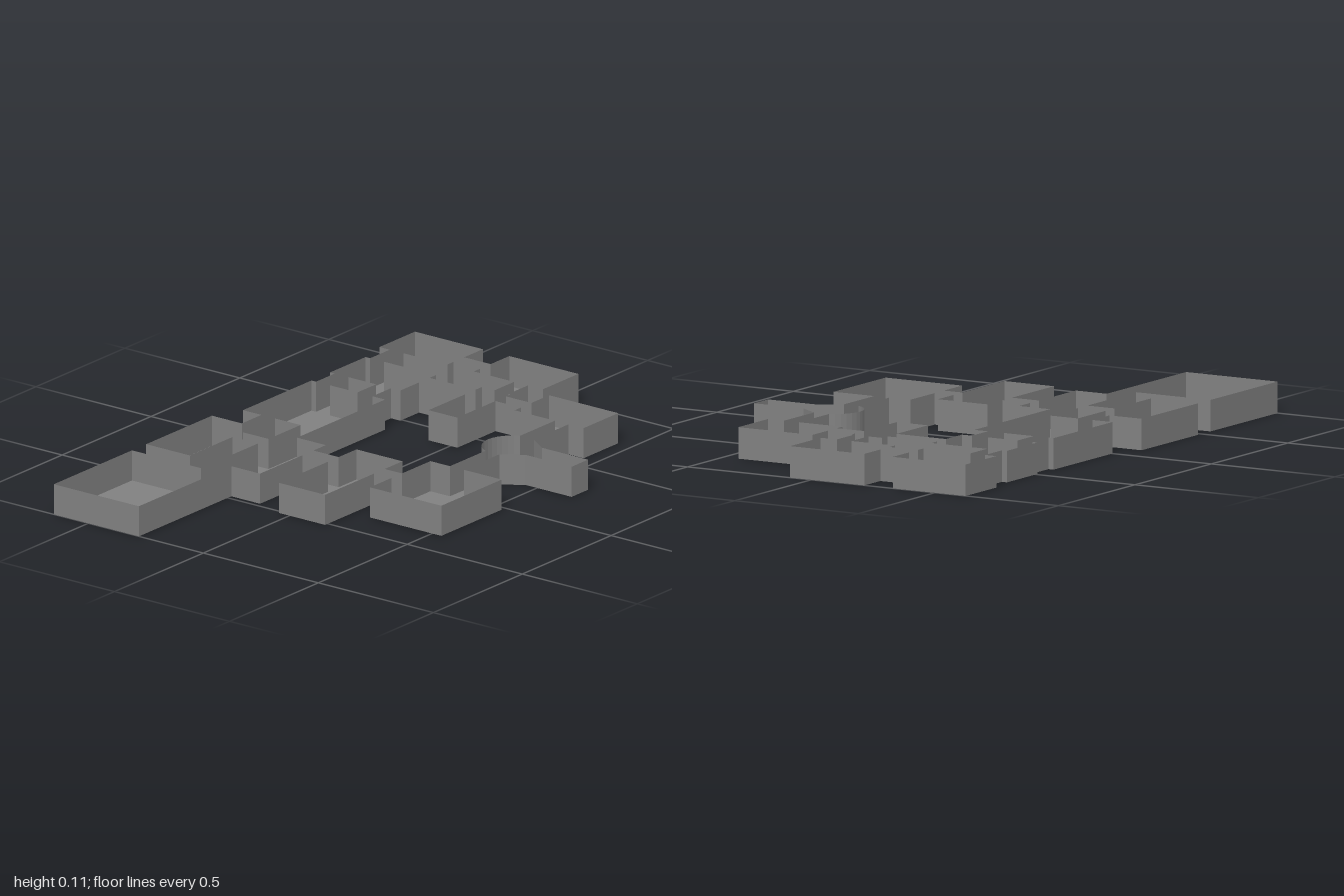
import * as THREE from 'three';

const H = 0.11;
const stone = new THREE.MeshStandardMaterial({ color: 0x808080, side: THREE.DoubleSide });
stone.name = 'grey stone';

// Floor plan: name, x0, z0, x1, z1
const PLAN = [
  ['northWestHall', -1, -0.65, -0.56, -0.28],
  ['northRoom', -0.48, -0.65, -0.11, -0.46],
  ['westRoom', -0.48, -0.35, -0.11, -0.155],
  ['greatHall', 0, -0.6, 0.385, -0.28],
  ['northEastRoom', 0.49, -0.6, 0.69, -0.295],
  ['cornerRoom', 0.8, -0.625, 1, -0.33],
  ['eastRoom', 0.8, -0.215, 1, 0.085],
  ['innerRoom', 0.39, -0.095, 0.69, 0.03],
  ['southEastRoom', 0.57, 0.14, 0.765, 0.44],
  ['southWestRoom', -0.36, 0.23, -0.02, 0.54],
  ['lowerWestRoom', -0.515, -0.045, -0.08, 0.155],
  ['corridor', -0.56, -0.35, -0.48, -0.28],
  ['corridor', -0.24, -0.46, -0.18, -0.35],
  ['corridor', -0.11, -0.52, 0, -0.46],
  ['corridor', -0.11, -0.35, 0, -0.28],
  ['corridor', 0.385, -0.58, 0.49, -0.52],
  ['corridor', 0.385, -0.4, 0.49, -0.335],
  ['corridor', 0.69, -0.58, 0.8, -0.52],
  ['corridor', 0.835, -0.33, 0.895, -0.215],
  ['corridor', 0.69, -0.04, 0.8, 0.02],
  ['corridor', 0.595, -0.295, 0.655, -0.095],
  ['corridor', 0.605, 0.03, 0.665, 0.14],
  ['corridor', 0.374, 0.315, 0.57, 0.375],
  ['corridor', -0.02, 0.315, 0.18, 0.375],
  ['corridor', -0.24, 0.155, -0.18, 0.23],
  ['corridor', -0.24, -0.155, -0.18, -0.045],
  ['entrance', 0.231, 0.45, 0.323, 0.65],
].map(([name, ...r]) => ({ name, r }));
const CHAMBER = { name: 'roundChamber', r: [0.18, 0.25, 0.374, 0.45] };
const ALL = [...PLAN, CHAMBER];

// Upright sheet between two floor points
function wall(x0, z0, x1, z1) {
  const dx = x1 - x0, dz = z1 - z0;
  const m = new THREE.Mesh(new THREE.PlaneGeometry(Math.hypot(dx, dz), H), stone);
  m.position.set((x0 + x1) / 2, H / 2, (z0 + z1) / 2);
  m.rotation.y = Math.atan2(-dz, dx);
  m.name = 'wall';
  return m;
}

// Parts of the span a..b left after removing the doorways
function solidSpans(a, b, gaps) {
  const spans = [];
  let at = a;
  for (const [g0, g1] of gaps.sort((p, q) => p[0] - q[0])) {
    if (g1 <= at || g0 >= b) continue;
    if (g0 > at) spans.push([at, g0]);
    at = Math.max(at, g1);
  }
  if (at < b) spans.push([at, b]);
  return spans;
}

// Open-topped rectangle with doorways wherever a neighbour touches it
function makeRoom(room) {
  const g = new THREE.Group(), r = room.r;
  g.name = room.name;
  const floor = new THREE.Mesh(new THREE.PlaneGeometry(r[2] - r[0], r[3] - r[1]), stone);
  floor.rotation.x = -Math.PI / 2;
  floor.position.set((r[0] + r[2]) / 2, 0, (r[1] + r[3]) / 2);
  floor.name = 'floor';
  g.add(floor);
  for (let side = 0; side < 4; side++) {
    const c = r[side], across = side % 2 === 0;
    const lo = across ? 1 : 0, hi = lo + 2;
    const gaps = ALL.filter(o => o !== room && o.r[(side + 2) % 4] === c)
      .map(o => [o.r[lo], o.r[hi]]);
    for (const [a, b] of solidSpans(r[lo], r[hi], gaps)) {
      g.add(across ? wall(c, a, c, b) : wall(a, c, b, c));
    }
  }
  return g;
}

// Chamber with an arched back and a front tapering to the entrance
function makeChamber() {
  const g = new THREE.Group();
  g.name = CHAMBER.name;
  const cx = 0.277, cz = 0.355, rad = 0.105, n = 12;
  const end = Math.asin(0.097 / rad);
  const arc = [];
  for (let i = 0; i <= n; i++) {
    const t = -end + (2 * end * i) / n;
    arc.push([cx + rad * Math.sin(t), cz - rad * Math.cos(t)]);
  }
  const outline = [...arc, [0.374, 0.375], [0.323, 0.45], [0.231, 0.45], [0.18, 0.375]];
  const shape = new THREE.Shape(outline.map(([x, z]) => new THREE.Vector2(x, -z)));
  const floor = new THREE.Mesh(new THREE.ShapeGeometry(shape), stone);
  floor.rotation.x = -Math.PI / 2;
  floor.name = 'floor';
  g.add(floor);
  for (let i = 0; i < n; i++) g.add(wall(...arc[i], ...arc[i + 1]));
  g.add(wall(0.374, 0.375, 0.323, 0.45), wall(0.231, 0.45, 0.18, 0.375));
  return g;
}

export function createModel() {
  const model = new THREE.Group();
  model.name = 'dungeonFloor';
  for (const room of PLAN) model.add(makeRoom(room));
  model.add(makeChamber());
  return model;
}
